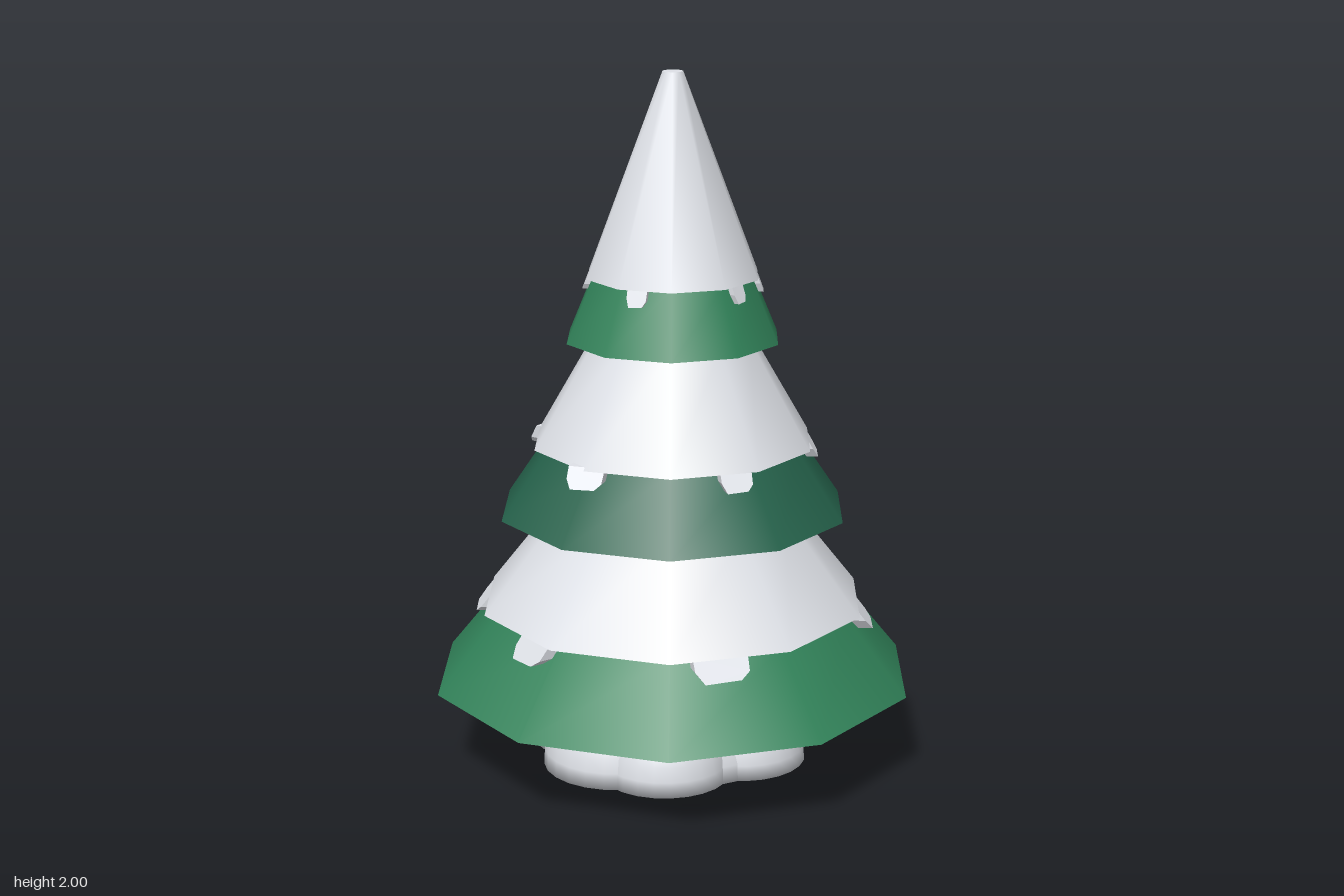
import * as THREE from 'three';

const material = (name, color) => {
  const m = new THREE.MeshStandardMaterial({ color });
  m.name = name;
  return m;
};

// Cone section standing between two heights
function coneSection(name, mat, rBottom, rTop, y0, y1, sides) {
  const mesh = new THREE.Mesh(new THREE.CylinderGeometry(rTop, rBottom, y1 - y0, sides), mat);
  mesh.position.y = (y0 + y1) / 2;
  mesh.name = name;
  return mesh;
}

// Small slab of snow hanging from a hem, leaning outwards with the slope
function clumpGeometry(width, height, slope) {
  const w = width / 2, d = 0.06;
  const s = new THREE.Shape();
  s.moveTo(-w, 0.01);
  s.lineTo(-w, -height * 0.45);
  s.lineTo(-w * 0.72, -height);
  s.lineTo(w * 0.6, -height * 0.95);
  s.lineTo(w * 0.95, -height * 0.6);
  s.lineTo(w, 0.01);
  const g = new THREE.ExtrudeGeometry(s, { depth: d, bevelEnabled: false });
  const p = g.attributes.position;
  for (let i = 0; i < p.count; i++) {
    p.setZ(i, p.getZ(i) - d - p.getY(i) * slope);
  }
  g.computeVertexNormals();
  return g;
}

export function createModel() {
  const tree = new THREE.Group();
  tree.name = 'snowyTree';
  const snow = material('snow', 0xe4e7ed);
  const green = material('green', 0x318259);
  const darkGreen = material('darkGreen', 0x25624b);
  const bark = material('bark', 0x75492f);

  // Trunk
  tree.add(coneSection('trunk', bark, 0.193, 0.193, 0, 0.4, 8));

  // Tiers: foliage skirt, snow cap and hanging clumps (angles from the front)
  const tiers = [
    { mat: green, y: 0.25, hem: 0.475, top: 0.76, r: 0.7, rHem: 0.515, snowHem: 0.56, snowTop: 0.335,
      width: 0.15, drop: 0.053, angles: [82, 47, -21, -80, -133, -176, 131] },
    { mat: darkGreen, y: 0.75, hem: 0.95, top: 1.26, r: 0.505, rHem: 0.367, snowHem: 0.407, snowTop: 0.226,
      width: 0.1, drop: 0.047, angles: [161, 96, 58, -9, -71, -147] },
    { mat: green, y: 1.25, hem: 1.43, top: 2, r: 0.31, rHem: 0.232, snowHem: 0.25, snowTop: 0.03,
      width: 0.055, drop: 0.045, angles: [168, 125, 55, 13, -59, -130] },
  ];
  tiers.forEach((t, i) => {
    const tier = new THREE.Group();
    tier.name = `tier${i + 1}`;
    tier.add(coneSection('foliage', t.mat, t.r, t.rHem, t.y, t.hem + 0.003, 10));
    tier.add(coneSection('snowCap', snow, t.snowHem, t.snowTop, t.hem, t.top, 10));
    const slope = (t.snowHem - t.snowTop) / (t.top - t.hem);
    const clump = clumpGeometry(t.width, t.drop, slope);
    t.angles.forEach((deg, k) => {
      const a = THREE.MathUtils.degToRad(deg);
      const toSide = (((deg + 360) % 36) - 18) * Math.PI / 180;
      const face = t.snowHem * Math.cos(Math.PI / 10) / Math.cos(toSide);
      const m = new THREE.Mesh(clump, snow);
      m.name = 'snowClump';
      m.position.set(Math.sin(a) * face, t.hem, Math.cos(a) * face);
      m.rotation.y = a - toSide; // flush with the facet
      m.scale.x = k % 2 ? 0.9 : 1.05;
      tier.add(m);
    });
    tree.add(tier);
  });

  // Snow drift: overlapping flat-bottomed domes around the trunk
  const profile = [[0, 0], [1, 0], [0.99, 0.25], [0.95, 0.48], [0.87, 0.7], [0.75, 0.86], [0.58, 0.96], [0.35, 1], [0, 1]]
    .map(([x, y]) => new THREE.Vector2(x, y));
  const dome = new THREE.LatheGeometry(profile, 24);
  const drift = new THREE.Group();
  drift.name = 'snowDrift';
  [
    [0, 0, 0.33, 0.195], // x, z, radius, height
    [-0.2, 0.01, 0.215, 0.19],
    [0.2, 0.06, 0.2, 0.18],
    [0.2, -0.19, 0.17, 0.145],
    [0.03, -0.23, 0.195, 0.18],
    [-0.16, -0.19, 0.17, 0.165],
    [-0.14, 0.16, 0.185, 0.18],
    [0.11, 0.18, 0.19, 0.175],
    [0.23, -0.06, 0.175, 0.16],
  ].forEach(([x, z, r, h]) => {
    const m = new THREE.Mesh(dome, snow);
    m.name = 'driftLobe';
    m.position.set(x, 0.015, z);
    m.scale.set(r, h, r);
    drift.add(m);
  });
  tree.add(drift);
  return tree;
}
